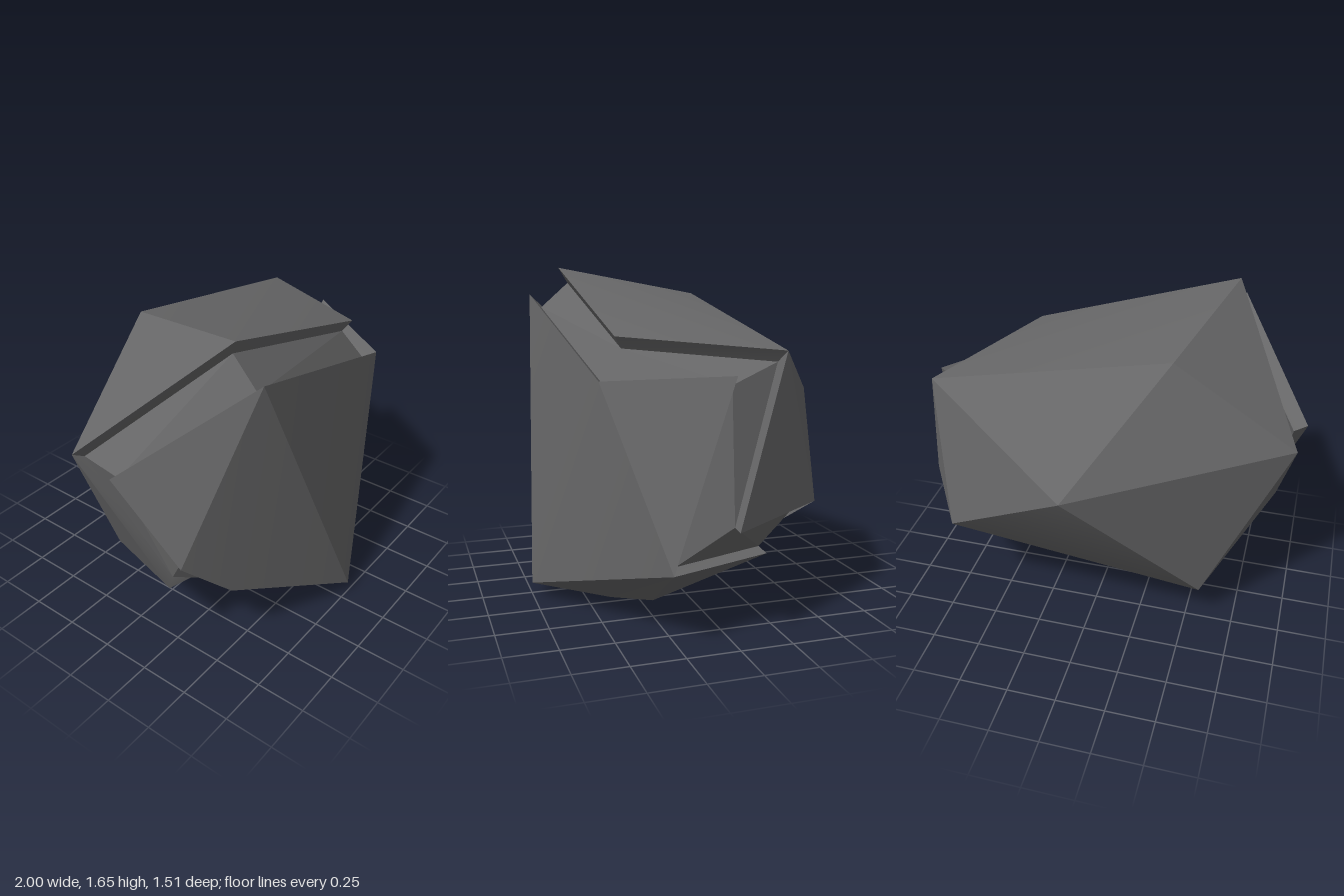
import * as THREE from 'three';
import { ConvexGeometry } from 'three/addons/geometries/ConvexGeometry.js';
import { toCreasedNormals } from 'three/addons/utils/BufferGeometryUtils.js';

// Corners of the two outer slabs of the split boulder
const FRONT = {
  A: [-0.59, 1.51, 0.63], B: [0.05, 0.07, 0.755], C: [0.58, 1.15, 0.52], D: [0.95, 0.35, 0.29],
  E: [-0.9, 0.64, 0.42], F: [-1, 1.06, 0.12], G: [0.9, 1.19, -0.01], H: [0.19, 0, 0.38],
  K: [0.4, 0.04, 0.22], M: [-0.66, 0.4, 0.52], Z: [0.74, 0.34, -0.23],
};
const BACK = {
  P: [-0.57, 1.655, 0.47], Q: [0.48, 1.34, 0.42], R: [0.82, 1.285, -0.28], S: [-0.37, 1.515, -0.24],
  T: [0.03, 1.01, -0.755], U: [0.7, 0.56, -0.49], V: [-0.97, 1.065, -0.14], W: [1, 0.53, 0.01],
  X: [-0.57, 0.23, -0.3], Y: [0.2, 0, 0.17], L: [-0.88, 0.47, 0.33],
};

// Outer faces; each is fanned from its first corner so that folds stay convex
const FRONT_FACES = ['BDCA', 'AEMB', 'AFE', 'CDG', 'DBHKZ', 'BMH'];
const BACK_FACES = ['PQRS', 'SRT', 'STVP', 'RUT', 'RWU', 'UYXT', 'TXV', 'VXL', 'XYL'];

// Point pulled inwards onto the core
const inset = ([x, y, z]) => [x * 0.935, 0.62 + (y - 0.62) * 0.92, z * 0.91];

// Outer faces, plus a wall from every open edge down to the core
function slabGeometry(points, faces) {
  const pos = [];
  const polygon = (ps) => {
    for (let i = 1; i < ps.length - 1; i++) pos.push(...ps[0], ...ps[i], ...ps[i + 1]);
  };
  const edges = new Set();
  for (const face of faces) {
    polygon([...face].map((k) => points[k]));
    for (let i = 0; i < face.length; i++) edges.add(face[i] + face[(i + 1) % face.length]);
  }
  for (const [a, b] of edges) {
    if (edges.has(b + a)) continue;
    polygon([points[b], points[a], inset(points[a]), inset(points[b])]);
  }
  const geometry = new THREE.BufferGeometry();
  geometry.setAttribute('position', new THREE.Float32BufferAttribute(pos, 3));
  return toCreasedNormals(geometry, Math.PI / 6);
}

export function createModel() {
  const group = new THREE.Group();
  group.name = 'splitBoulder';
  const stone = new THREE.MeshStandardMaterial({ color: 0x666667 });
  stone.name = 'greyStone';
  const add = (name, geometry) => {
    const mesh = new THREE.Mesh(geometry, stone);
    mesh.name = name;
    group.add(mesh);
  };

  add('frontSlab', slabGeometry(FRONT, FRONT_FACES));
  add('backSlab', slabGeometry(BACK, BACK_FACES));

  // Core seen inside the crack between the slabs
  const corePoints = [...Object.values(FRONT), ...Object.values(BACK)]
    .map((p) => new THREE.Vector3(...inset(p)));
  add('core', new ConvexGeometry(corePoints));
  return group;
}
